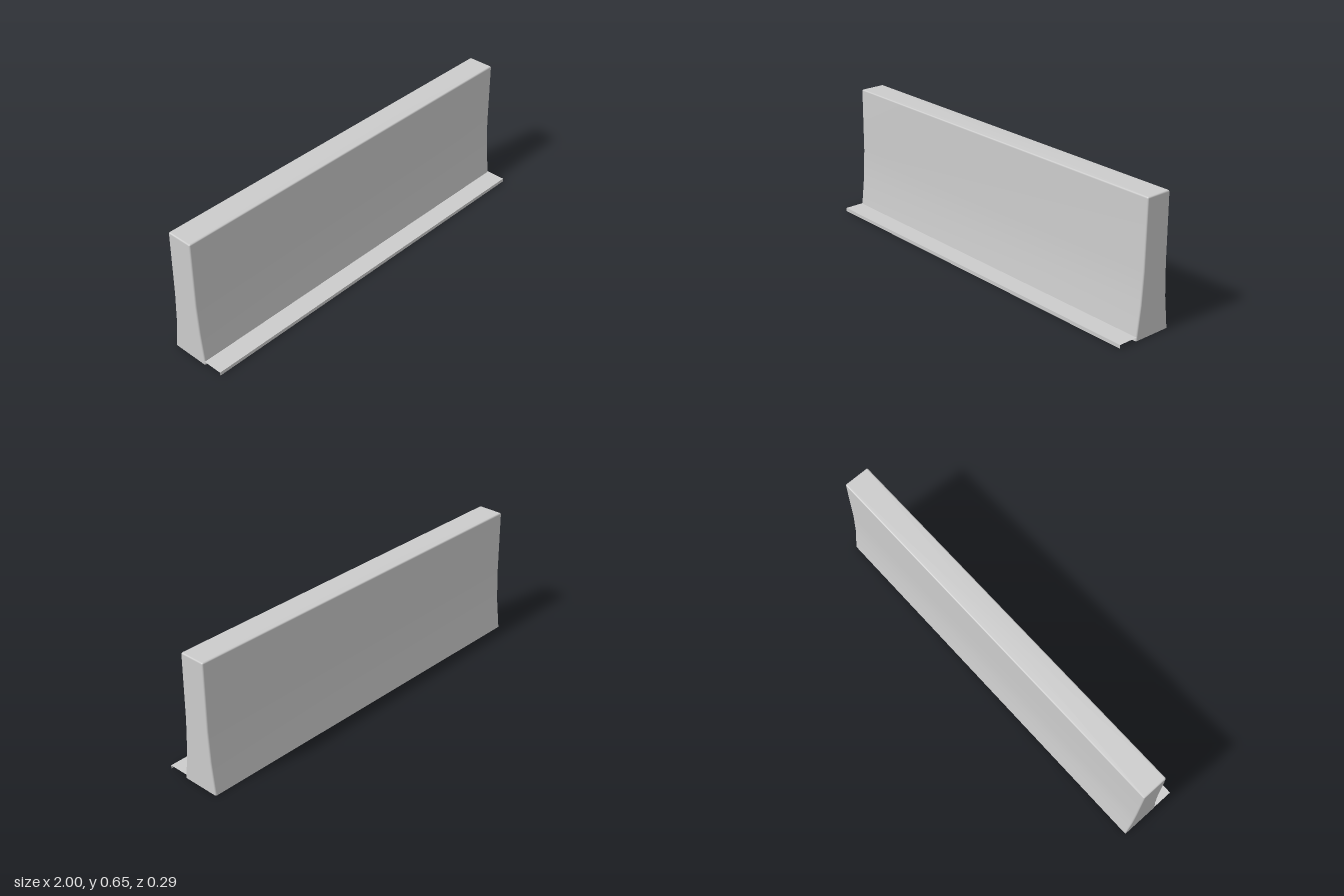
import * as THREE from 'three';

const material = new THREE.MeshStandardMaterial({ color: 0xcccccc, side: THREE.DoubleSide });

// Rounded rectangle in plan, running counter-clockwise seen from +z-down (x, z)
function loop(halfX, zFront, zBack, r) {
  const pts = [];
  const steps = 3;
  const corners = [
    [halfX - r, zFront - r, Math.PI / 2],
    [halfX - r, zBack + r, 0],
    [-halfX + r, zBack + r, -Math.PI / 2],
    [-halfX + r, zFront - r, -Math.PI],
  ];
  for (const [cx, cz, start] of corners) {
    for (let i = 0; i <= steps; i++) {
      const a = start - (i / steps) * Math.PI / 2;
      pts.push([cx + r * Math.cos(a), cz + r * Math.sin(a)]);
    }
  }
  return pts;
}

// Hollow flared wall, open underneath
function wallGeometry() {
  // height, half length, front z, back z, corner radius
  const levels = [
    [0, 1, 0.049, -0.146, 0.007],
    [0.16, 1, 0.03, -0.126, 0.007],
    [0.315, 1, 0.021, -0.118, 0.007],
    [0.639, 1, 0.018, -0.115, 0.007],
    [0.644, 0.998, 0.016, -0.113, 0.006],
    [0.646, 0.993, 0.011, -0.108, 0.002],
  ];
  const positions = [];
  const index = [];
  let n = 0;
  for (const [y, hx, zf, zb, r] of levels) {
    const pts = loop(hx, zf, zb, r);
    n = pts.length;
    for (const [x, z] of pts) positions.push(x, y, z);
  }
  for (let j = 0; j < levels.length - 1; j++) {
    for (let i = 0; i < n; i++) {
      const a = j * n + i;
      const b = j * n + (i + 1) % n;
      index.push(a, b, b + n, a, b + n, a + n);
    }
  }
  // Top cap
  const last = (levels.length - 1) * n;
  const centre = positions.length / 3;
  positions.push(0, levels[levels.length - 1][0], -0.0485);
  for (let i = 0; i < n; i++) index.push(last + i, last + (i + 1) % n, centre);

  const geometry = new THREE.BufferGeometry();
  geometry.setAttribute('position', new THREE.Float32BufferAttribute(positions, 3));
  geometry.setIndex(index);
  geometry.computeVertexNormals();
  return geometry;
}

function addMesh(group, name, geometry) {
  const mesh = new THREE.Mesh(geometry, material);
  mesh.name = name;
  group.add(mesh);
  return mesh;
}

export function createModel() {
  const group = new THREE.Group();
  group.name = 'barrier';

  addMesh(group, 'wall', wallGeometry());

  // Thin ledge running through the foot of the front face
  const ledgeBack = 0.035, ledgeFront = 0.146, ledgeY = 0.018;
  const ledge = addMesh(group, 'ledge', new THREE.PlaneGeometry(2, ledgeFront - ledgeBack));
  ledge.rotation.x = -Math.PI / 2;
  ledge.position.set(0, ledgeY, (ledgeFront + ledgeBack) / 2);

  // Lip hanging from the ledge's front edge
  const lip = addMesh(group, 'ledgeLip', new THREE.PlaneGeometry(2, ledgeY));
  lip.position.set(0, ledgeY / 2, ledgeFront);

  return group;
}
